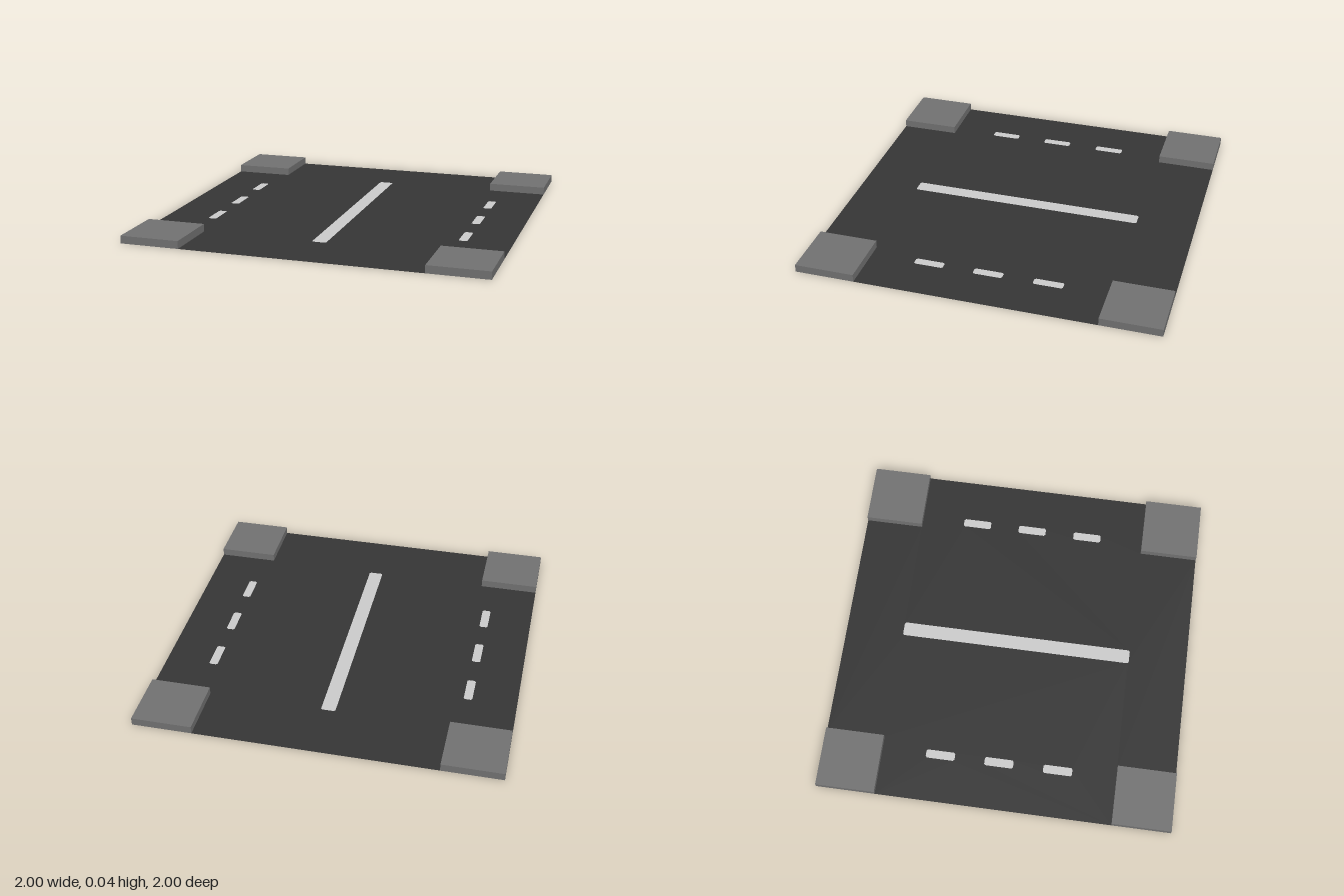
import * as THREE from 'three';

const EDGE = 1, INNER = 0.667, CURB_HEIGHT = 0.043;

// Outline of a painted strip with slightly clipped corners
function stripPoints(cx, cz, w, l) {
  const x = w / 2, z = l / 2, c = 0.008;
  return [
    [-x + c, -z], [x - c, -z], [x, -z + c], [x, z - c],
    [x - c, z], [-x + c, z], [-x, z - c], [-x, -z + c],
  ].map(([px, pz]) => new THREE.Vector2(cx + px, cz + pz));
}

// Flat sheet lying on the ground
function sheet(name, shape, material) {
  const geometry = new THREE.ShapeGeometry(shape);
  geometry.rotateX(-Math.PI / 2);
  const mesh = new THREE.Mesh(geometry, material);
  mesh.name = name;
  return mesh;
}

export function createModel() {
  const flat = (name, color) =>
    new THREE.MeshStandardMaterial({ name, color, side: THREE.DoubleSide });
  const asphalt = flat('asphalt', 0x353535);
  const paint = flat('white paint', 0xcccccc);
  const concrete = flat('concrete', 0x727272);

  const group = new THREE.Group();
  group.name = 'roadTile';

  // Painted strips: one centre line and three dashes on each side
  const strips = [{ name: 'centreLine', points: stripPoints(0, 0, 0.08, 1.334) }];
  for (const x of [-0.73, 0.73]) {
    for (const z of [-0.335, 0, 0.335]) {
      strips.push({ name: 'laneDash', points: stripPoints(x, z, 0.048, 0.165) });
    }
  }

  // Cross-shaped road with openings that the strips fill flush
  const a = EDGE, b = INNER;
  const road = new THREE.Shape([
    [-b, -a], [b, -a], [b, -b], [a, -b], [a, b], [b, b],
    [b, a], [-b, a], [-b, b], [-a, b], [-a, -b], [-b, -b],
  ].map(([x, y]) => new THREE.Vector2(x, y)));
  for (const { points } of strips) road.holes.push(new THREE.Path(points));
  group.add(sheet('roadSurface', road, asphalt));
  for (const { name, points } of strips) {
    group.add(sheet(name, new THREE.Shape(points), paint));
  }

  // Raised pavement corners: four walls and a top, open underneath
  const size = EDGE - INNER, centre = (EDGE + INNER) / 2;
  const curb = new THREE.BoxGeometry(size, CURB_HEIGHT, size);
  const index = Array.from(curb.index.array);
  index.splice(18, 6); // bottom face
  curb.setIndex(index);
  curb.clearGroups();
  for (const sx of [-1, 1]) {
    for (const sz of [-1, 1]) {
      const corner = new THREE.Mesh(curb, concrete);
      corner.name = 'pavementCorner';
      corner.position.set(sx * centre, CURB_HEIGHT / 2, sz * centre);
      group.add(corner);
    }
  }
  return group;
}
